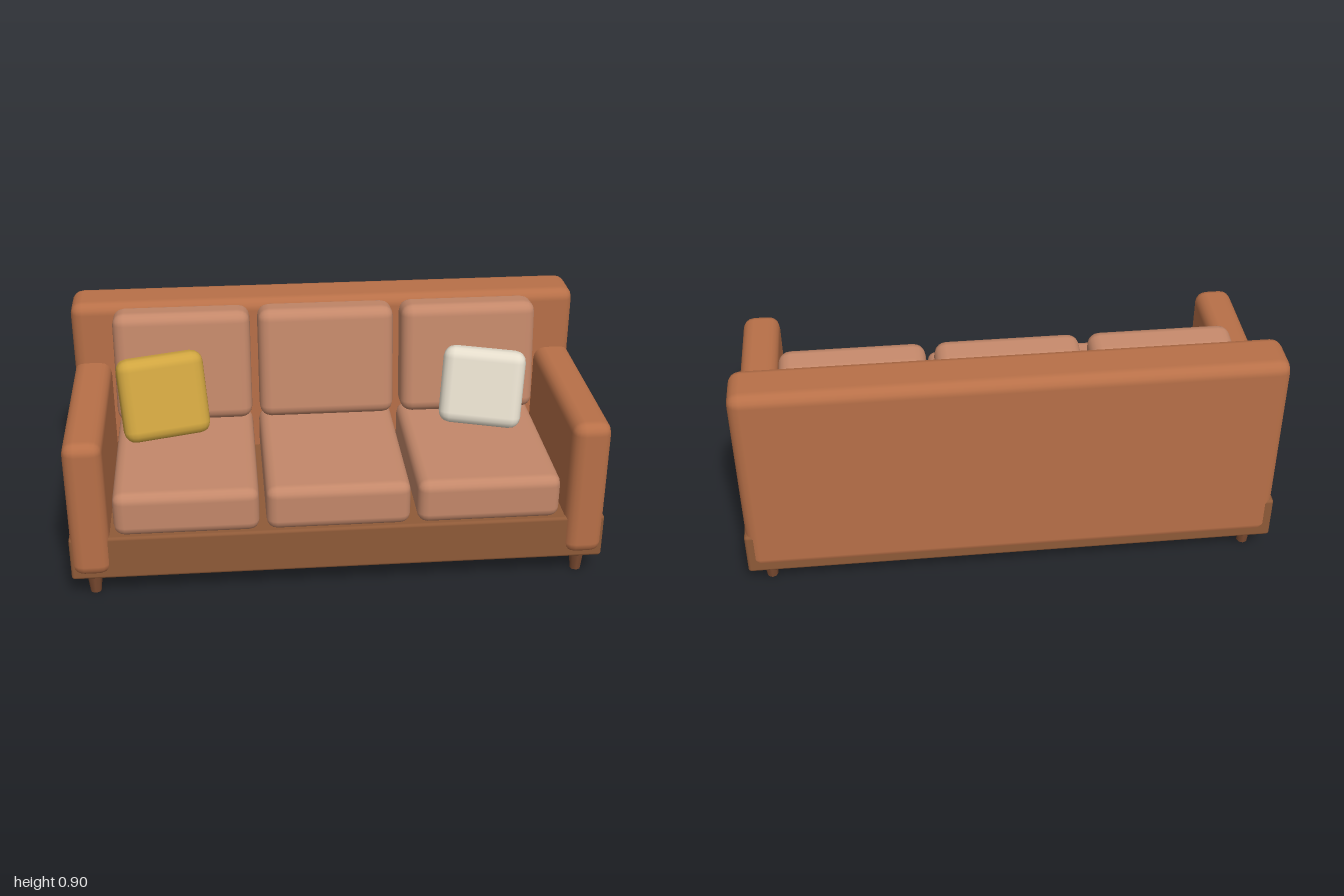
import * as THREE from 'three';
import { RoundedBoxGeometry } from 'three/addons/geometries/RoundedBoxGeometry.js';

const mat = (color) => new THREE.MeshStandardMaterial({ color });

export function createModel() {
  const sofa = new THREE.Group();
  sofa.name = 'sofa';

  const leather = mat(0xb87048);
  const frame = mat(0x8f5a38);
  const cushion = mat(0xc4886a);
  const wood = mat(0x7a4a30);
  const mustard = mat(0xd0a540);
  const cream = mat(0xe6decd);

  // Softly bevelled block given by its size and centre
  function block(name, size, pos, radius, material, rot = [0, 0, 0]) {
    const mesh = new THREE.Mesh(new RoundedBoxGeometry(...size, 2, radius), material);
    mesh.name = name;
    mesh.position.set(...pos);
    mesh.rotation.set(...rot, 'YXZ');
    sofa.add(mesh);
    return mesh;
  }

  // Plinth and backrest
  block('base', [2, 0.175, 0.875], [0, 0.1725, -0.0085], 0.012, frame);
  block('backrest', [1.99, 0.8, 0.199], [0, 0.5, -0.3505], 0.045, leather);

  // Arms and legs, mirrored left and right
  for (const side of [1, -1]) {
    const label = side > 0 ? 'left' : 'right';
    block(label + 'Arm', [0.145, 0.55, 0.82], [side * 0.9225, 0.38, 0.04], 0.045, leather);
    for (const z of [0.37, -0.37]) {
      const leg = new THREE.Mesh(new THREE.CylinderGeometry(0.03, 0.021, 0.09, 8), wood);
      leg.name = label + (z > 0 ? 'FrontLeg' : 'BackLeg');
      leg.position.set(side * 0.92, 0.045, z);
      sofa.add(leg);
    }
  }

  // Three seat cushions with leaning back cushions
  ['right', 'middle', 'left'].forEach((label, i) => {
    const x = (i - 1) * 0.56 - 0.004;
    block(label + 'SeatCushion', [0.535, 0.175, 0.7], [x, 0.352, 0.09], 0.04, cushion);
    block(label + 'BackCushion', [0.53, 0.44, 0.15], [x, 0.67, -0.19], 0.045, cushion, [-0.12, 0, 0]);
  });

  // Loose throw pillows
  block('rightPillow', [0.335, 0.325, 0.11], [-0.643, 0.607, -0.03], 0.045, mustard, [-0.27, 0.2, 0.03]);
  block('leftPillow', [0.32, 0.305, 0.11], [0.598, 0.598, -0.027], 0.045, cream, [-0.27, -0.25, -0.03]);

  return sofa;
}
